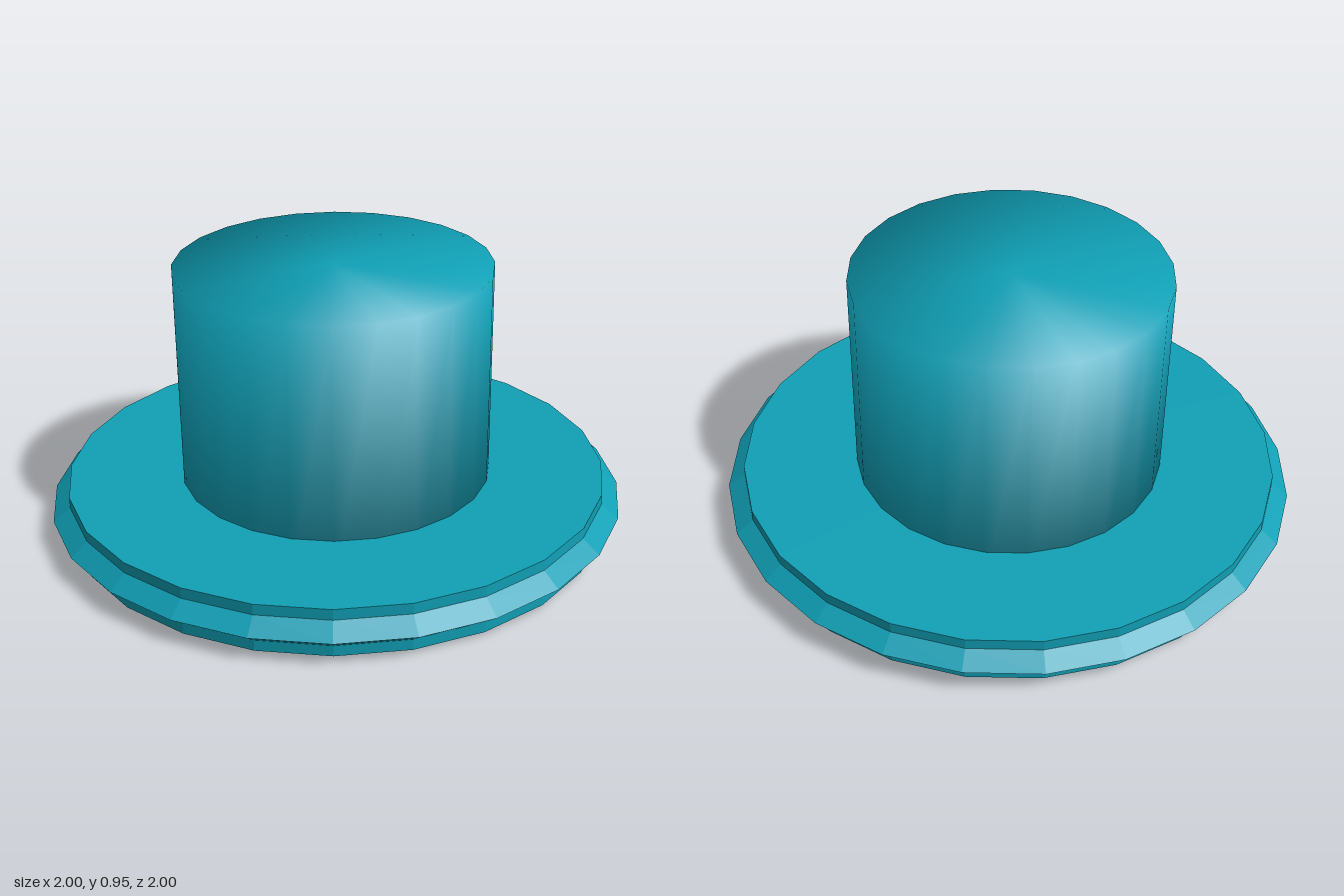
import * as THREE from 'three';

const SIDES = 24;
const PHASE = THREE.MathUtils.degToRad(6.5);
const TILT = 0.0135;

export function createModel() {
  const teal = new THREE.MeshStandardMaterial({ color: 0x10a0b6 });
  teal.name = 'teal';

  const hat = new THREE.Group();
  hat.name = 'hat';
  hat.rotation.z = TILT; // slight lean to one side

  // Faceted brim: flat disc with a pointed ridge around its edge
  const profile = [
    [0, 0.0165], [0.945, 0.0165], [0.945, 0.055], [1.005, 0.101],
    [0.945, 0.147], [0.945, 0.185], [0, 0.185],
  ].map(([r, y]) => new THREE.Vector2(r, y));
  const brimGeometry = new THREE.LatheGeometry(profile, SIDES).toNonIndexed();
  brimGeometry.computeVertexNormals();
  const brim = new THREE.Mesh(brimGeometry, teal);
  brim.name = 'brim';

  // Crown: cylinder whose normals blend smoothly over the rims
  const radius = 0.545, bottom = 0.03, top = 0.943;
  const half = (top - bottom) / 2;
  const crownGeometry = new THREE.CylinderGeometry(radius, radius, 2 * half, SIDES);
  const { position, normal } = crownGeometry.attributes;
  const n = new THREE.Vector3();
  for (let i = 0; i < position.count; i++) {
    n.fromBufferAttribute(position, i);
    n.set(n.x / radius, n.y / half, n.z / radius).normalize();
    normal.setXYZ(i, n.x, n.y, n.z);
  }
  const crown = new THREE.Mesh(crownGeometry, teal);
  crown.name = 'crown';
  crown.position.y = bottom + half;

  for (const part of [brim, crown]) {
    part.rotation.y = PHASE;
    hat.add(part);
  }

  const model = new THREE.Group();
  model.name = 'model';
  model.add(hat);
  return model;
}
